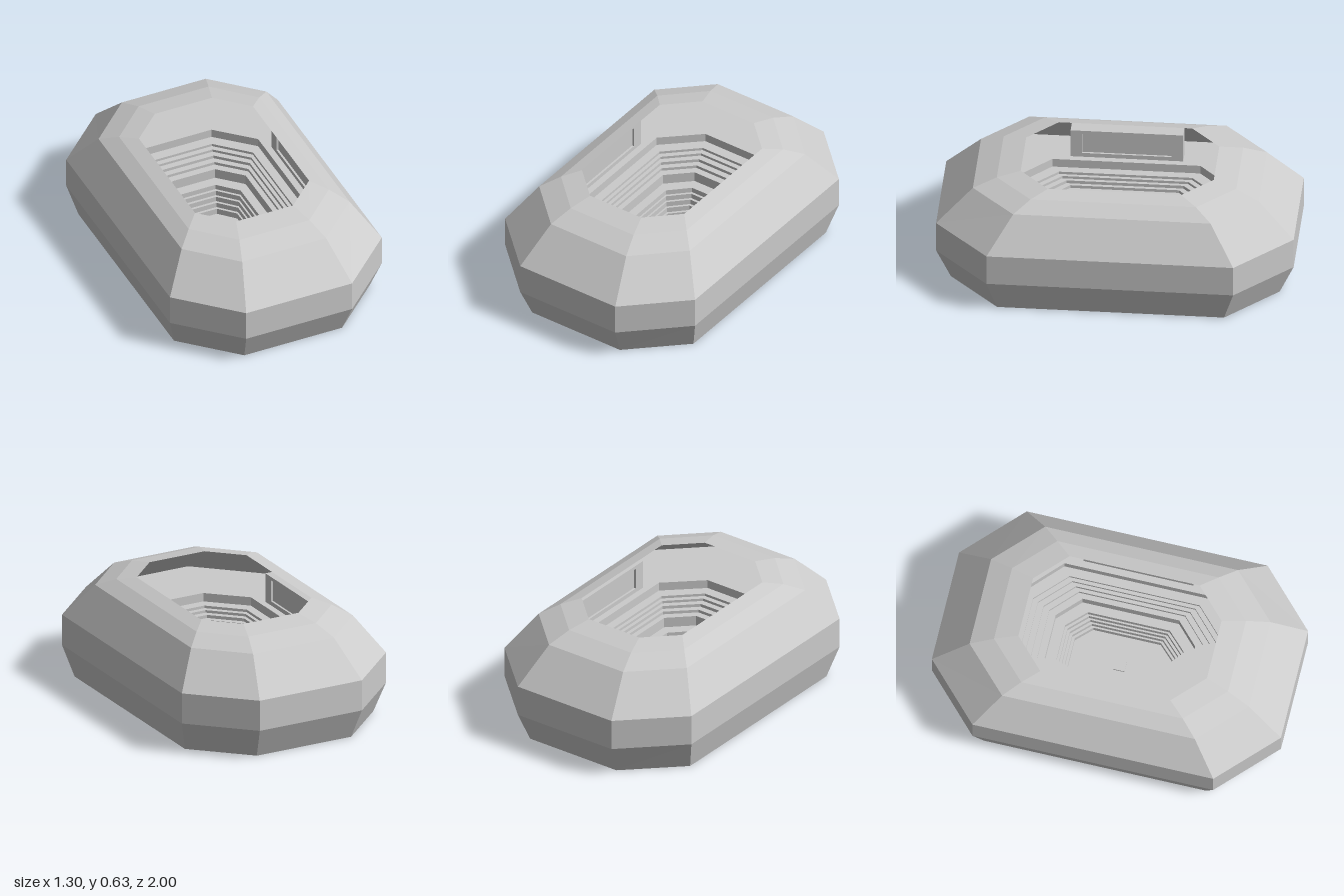
import * as THREE from 'three';

const grey = new THREE.MeshStandardMaterial({ color: 0xcccccc, flatShading: true, side: THREE.DoubleSide });

// Corners of a chamfered rectangle with half sizes hx, hz
const octagon = (hx, hz) => {
  const a = hx * 0.5, b = hz * 0.69;
  return [[a, hz], [hx, b], [hx, -b], [a, -hz], [-a, -hz], [-hx, -b], [-hx, b], [-a, hz]];
};

function add(parent, name, geometry, x = 0, y = 0, z = 0) {
  const mesh = new THREE.Mesh(geometry, grey);
  mesh.name = name;
  mesh.position.set(x, y, z);
  parent.add(mesh);
  return mesh;
}

// Skin between octagon rings [hx, hz, y]; listed bottom to top it faces outward
function loft(rings) {
  const pos = [], index = [];
  rings.forEach(([hx, hz, y]) => octagon(hx, hz).forEach(([x, z]) => pos.push(x, y, z)));
  for (let r = 0; r < rings.length - 1; r++) {
    for (let i = 0; i < 8; i++) {
      const a = r * 8 + i, b = r * 8 + (i + 1) % 8;
      index.push(a, b, b + 8, a, b + 8, a + 8);
    }
  }
  const g = new THREE.BufferGeometry();
  g.setAttribute('position', new THREE.Float32BufferAttribute(pos, 3));
  g.setIndex(index);
  const flat = g.toNonIndexed();
  flat.computeVertexNormals();
  return flat;
}

// Flat octagon facing up, with an optional octagonal hole
function plate(outer, hole) {
  const points = (o) => octagon(...o).map(([x, z]) => new THREE.Vector2(x, z));
  const shape = new THREE.Shape(points(outer));
  if (hole) shape.holes.push(new THREE.Path(points(hole)));
  return new THREE.ShapeGeometry(shape).rotateX(-Math.PI / 2);
}

export function createModel() {
  const model = new THREE.Group();
  model.name = 'octagonalArena';

  // Outer shell, open at the bottom and at the roof
  add(model, 'lowerShell', loft([[0.6, 0.92, 0], [0.65, 1, 0.18], [0.65, 1, 0.36]]));
  add(model, 'roofShell', loft([[0.65, 1, 0.36], [0.515, 0.8, 0.56], [0.43, 0.67, 0.61], [0.35, 0.54, 0.635]]));

  // Concourse floor around the pit
  add(model, 'concourse', plate([0.65, 1], [0.4, 0.6]), 0, 0.36, 0);

  // Stepped pit: each tier is a riser followed by a tread to the next tier
  const tiers = [
    [0.4, 0.6, 0.31], [0.35, 0.54, 0.295], [0.33, 0.51, 0.28], [0.31, 0.475, 0.262],
    [0.29, 0.44, 0.245], [0.26, 0.4, 0.185], [0.21, 0.34, 0.155], [0.2, 0.325, 0.125],
    [0.19, 0.31, 0.095], [0.18, 0.295, 0.065], [0.17, 0.28, 0.03],
  ];
  const profile = [];
  let top = 0.36;
  for (const [hx, hz, y] of tiers) {
    profile.push([hx, hz, top], [hx, hz, y]);
    top = y;
  }
  add(model, 'steppedTiers', loft(profile));
  add(model, 'pitFloor', plate([0.17, 0.28]), 0, 0.03, 0);
  add(model, 'centrePlinth', new THREE.BoxGeometry(0.066, 0.01, 0.066), 0, 0.035, 0);

  // Framed booths on both long sides, under the roof
  for (const side of [-1, 1]) {
    const booth = new THREE.Group();
    booth.name = side < 0 ? 'rightBooth' : 'leftBooth';
    add(booth, 'boothBody', new THREE.BoxGeometry(0.08, 0.17, 0.63), side * 0.49, 0.445, 0);
    for (const [y, h] of [[0.3725, 0.025], [0.52, 0.02]]) {
      add(booth, 'frameRail', new THREE.BoxGeometry(0.012, h, 0.63), side * 0.444, y, 0);
    }
    for (const z of [-0.2825, 0.2825]) {
      add(booth, 'framePost', new THREE.BoxGeometry(0.012, 0.125, 0.065), side * 0.444, 0.4475, z);
    }
    model.add(booth);
  }
  return model;
}
